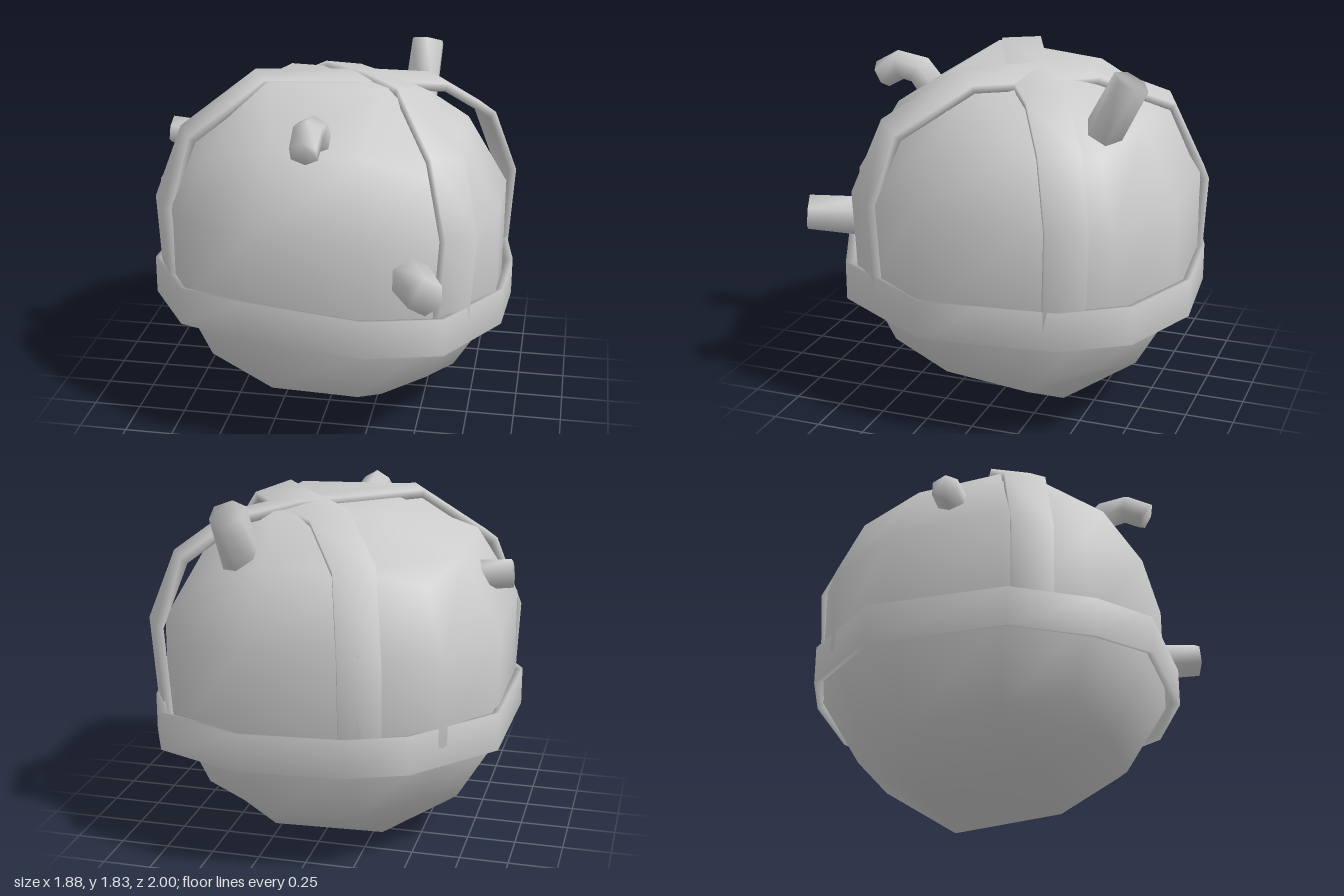
import * as THREE from 'three';
import { mergeVertices } from 'three/addons/utils/BufferGeometryUtils.js';

const V = (x, y, z) => new THREE.Vector3(x, y, z);
const CENTRE = V(-0.01, 0.88, -0.05);

// Skin a list of equal rings (counter-clockwise about the path), smooth shaded
function loft(rings, closed) {
  const n = rings[0].length, m = rings.length, idx = [];
  for (let i = 0; i < (closed ? m : m - 1); i++) {
    for (let j = 0; j < n; j++) {
      const k = (j + 1) % n, i2 = (i + 1) % m;
      const a = i * n + j, b = i * n + k, c = i2 * n + j, d = i2 * n + k;
      idx.push(a, b, c, b, d, c);
    }
  }
  if (!closed) {
    // end caps
    const e = (m - 1) * n;
    for (let j = 1; j < n - 1; j++) idx.push(0, j + 1, j, e, e + j, e + j + 1);
  }
  const g = new THREE.BufferGeometry().setFromPoints(rings.flat());
  g.setIndex(idx);
  g.computeVertexNormals();
  return g;
}

// Direction of a path at one of its points
const tangent = (path, i) => path[Math.min(i + 1, path.length - 1)].clone()
  .sub(path[Math.max(i - 1, 0)]).normalize();

// Body: a cube with three segments a side, blown up to a slightly uneven ball
function ballGeometry(radius) {
  let g = new THREE.BoxGeometry(2, 2, 2, 3, 3, 3);
  g.deleteAttribute('normal');
  g.deleteAttribute('uv');
  g = mergeVertices(g);
  const p = g.attributes.position, v = V(0, 0, 0);
  for (let i = 0; i < p.count; i++) {
    v.fromBufferAttribute(p, i).setLength(radius);
    const lean = (Math.abs(v.z) < 0.4 ? 0.1 * v.z : 0) - 0.03 * v.x;
    p.setXYZ(i, v.x * 1.02, v.y * 0.98 + lean, v.z);
  }
  g.computeVertexNormals();
  return g;
}

// Band round the ball, from outer corners
function beltGeometry(corners) {
  const rings = corners.map(([x, y, z]) =>
    [[1, 0.1], [1, -0.1], [0.96, -0.09], [0.96, 0.09]].map(([k, h]) =>
      V(CENTRE.x + (x - CENTRE.x) * k, y + h, CENTRE.z + (z - CENTRE.z) * k)));
  return loft(rings, true);
}

// Flat strap along its outer middle line
function strapGeometry(path) {
  const rings = path.map((p, i) => {
    const t = tangent(path, i);
    const side = t.clone().cross(p.clone().sub(CENTRE)).normalize();
    const normal = side.clone().cross(t);
    return [[0, -1], [0, 1], [-0.045, 1], [-0.045, -1]].map(([depth, s]) =>
      p.clone().addScaledVector(side, s * 0.105).addScaledVector(normal, depth));
  });
  return loft(rings, false);
}

// Six-sided peg along a few path points
function pegGeometry(path, radii) {
  const rings = path.map((p, i) => {
    const t = tangent(path, i);
    const ref = Math.abs(t.y) > 0.8 ? V(0, 0, 1) : V(0, 1, 0);
    const u = ref.addScaledVector(t, -ref.dot(t)).normalize();
    const v = t.clone().cross(u);
    return Array.from({ length: 6 }, (_, j) => {
      const a = j * Math.PI / 3;
      return p.clone().addScaledVector(u, radii[i] * Math.cos(a))
        .addScaledVector(v, radii[i] * Math.sin(a));
    });
  });
  return loft(rings, false);
}

export function createModel() {
  const group = new THREE.Group();
  const grey = new THREE.MeshStandardMaterial({ color: 0xcccccc });
  grey.name = 'grey';
  const add = (name, geometry) => {
    const mesh = new THREE.Mesh(geometry, grey);
    mesh.name = name;
    group.add(mesh);
    return mesh;
  };

  add('body', ballGeometry(0.962)).position.set(-0.012, 0.89, -0.05);

  add('belt', beltGeometry([
    [0.27, 0.705, 0.9], [0.66, 0.67, 0.73], [0.91, 0.625, 0.22], [0.94, 0.655, -0.12],
    [0.88, 0.65, -0.5], [0.73, 0.675, -0.83], [0.28, 0.67, -1.0], [-0.25, 0.67, -0.95],
    [-0.55, 0.68, -0.85], [-0.92, 0.69, -0.45], [-0.94, 0.69, 0.27], [-0.7, 0.695, 0.65],
    [-0.33, 0.745, 0.86],
  ]));

  // Two straps crossing off-centre on top, foot to foot
  const crossing = V(0.22, 1.745, -0.12);
  add('strapFrontToBack', strapGeometry([
    V(0.69, 0.66, 0.6), V(0.72, 1.15, 0.61), V(0.63, 1.51, 0.48), V(0.42, 1.75, 0.14), crossing,
    V(-0.03, 1.73, -0.38), V(-0.25, 1.56, -0.75), V(-0.32, 1.15, -0.93), V(-0.32, 0.66, -0.905),
  ]));
  add('strapSideToSide', strapGeometry([
    V(-0.85, 0.68, 0.37), V(-0.87, 1.15, 0.38), V(-0.74, 1.52, 0.31), V(-0.38, 1.79, 0.14), crossing,
    V(0.5, 1.69, -0.31), V(0.75, 1.5, -0.46), V(0.87, 1.15, -0.54), V(0.84, 0.64, -0.52),
  ]));

  // Short pegs standing out of the ball
  add('bentPeg', pegGeometry(
    [V(-0.02, 1.5, 0.47), V(-0.02, 1.65, 0.59), V(-0.02, 1.67, 0.7), V(-0.02, 1.61, 0.81)],
    [0.09, 0.085, 0.08, 0.075]));
  add('frontPeg', pegGeometry([V(0.46, 0.965, 0.65), V(0.585, 0.995, 0.97)], [0.11, 0.095]));
  add('backPeg', pegGeometry([V(0.37, 1.48, -0.54), V(0.39, 1.785, -0.7)], [0.1, 0.095]));
  add('sidePeg', pegGeometry([V(-0.68, 1.38, -0.06), V(-0.91, 1.405, -0.06)], [0.08, 0.075]));

  return group;
}
